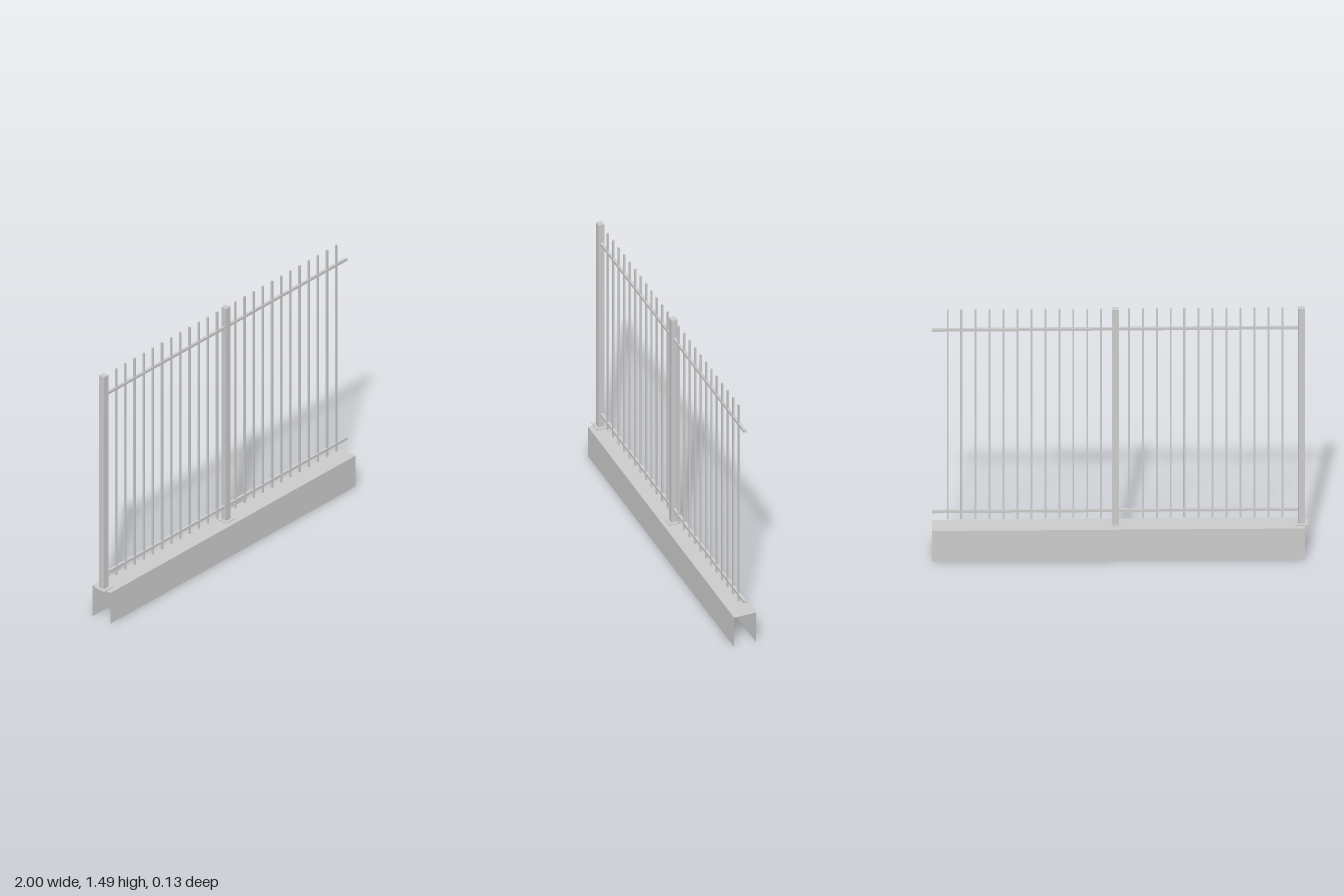
import * as THREE from 'three';

export function createModel() {
  const fence = new THREE.Group();
  fence.name = 'fence';
  const material = new THREE.MeshStandardMaterial({ color: 0xcccccc, flatShading: true });
  const sheet = new THREE.MeshStandardMaterial({ color: 0xcccccc, flatShading: true, side: THREE.DoubleSide });

  // Box given by its x, y and z limits
  function bar(name, x0, x1, y0, y1, z0, z1, parent) {
    const mesh = new THREE.Mesh(new THREE.BoxGeometry(x1 - x0, y1 - y0, z1 - z0), material);
    mesh.position.set((x0 + x1) / 2, (y0 + y1) / 2, (z0 + z1) / 2);
    mesh.name = name;
    parent.add(mesh);
  }

  // Base wall: a thin shell, open at the bottom and both ends
  const wallStart = -0.985, wallEnd = 1, wallTop = 0.188, wallHalf = 0.063;
  const wallLength = wallEnd - wallStart, wallMid = (wallStart + wallEnd) / 2;
  const wall = new THREE.Group();
  wall.name = 'baseWall';
  fence.add(wall);
  for (const side of [1, -1]) {
    const face = new THREE.Mesh(new THREE.PlaneGeometry(wallLength, wallTop), sheet);
    face.position.set(wallMid, wallTop / 2, side * wallHalf);
    if (side < 0) face.rotation.y = Math.PI;
    face.name = side > 0 ? 'wallFront' : 'wallBack';
    wall.add(face);
  }
  const top = new THREE.Mesh(new THREE.PlaneGeometry(wallLength, wallHalf * 2), sheet);
  top.rotation.x = -Math.PI / 2;
  top.position.set(wallMid, wallTop, 0);
  top.name = 'wallTop';
  wall.add(top);

  // Two bays, each with a post, foot plate, two rails and twelve pickets
  const postHalf = 0.0175, fenceTop = 1.487;
  const bays = [
    { post: -0.968, railEnd: 0.006, firstPicket: -0.866 },
    { post: 0.023, railEnd: 1, firstPicket: 0.099 },
  ];
  for (const { post, railEnd, firstPicket } of bays) {
    const bay = new THREE.Group();
    bay.name = 'bay';
    fence.add(bay);
    bar('footPlate', post - 0.035, post + 0.035, wallTop + 0.001, 0.194, -0.035, 0.035, bay);
    bar('post', post - postHalf, post + postHalf, 0.194, fenceTop, -postHalf, postHalf, bay);
    for (const y of [0.273, 1.366]) {
      bar('rail', post + postHalf, railEnd, y - 0.0075, y + 0.0075, -0.0075, 0.0075, bay);
    }
    for (let i = 0; i < 12; i++) {
      const x = firstPicket + i * 0.0743;
      bar('picket', x - 0.005, x + 0.005, 0.227, fenceTop, -0.005, 0.005, bay);
    }
  }
  return fence;
}
